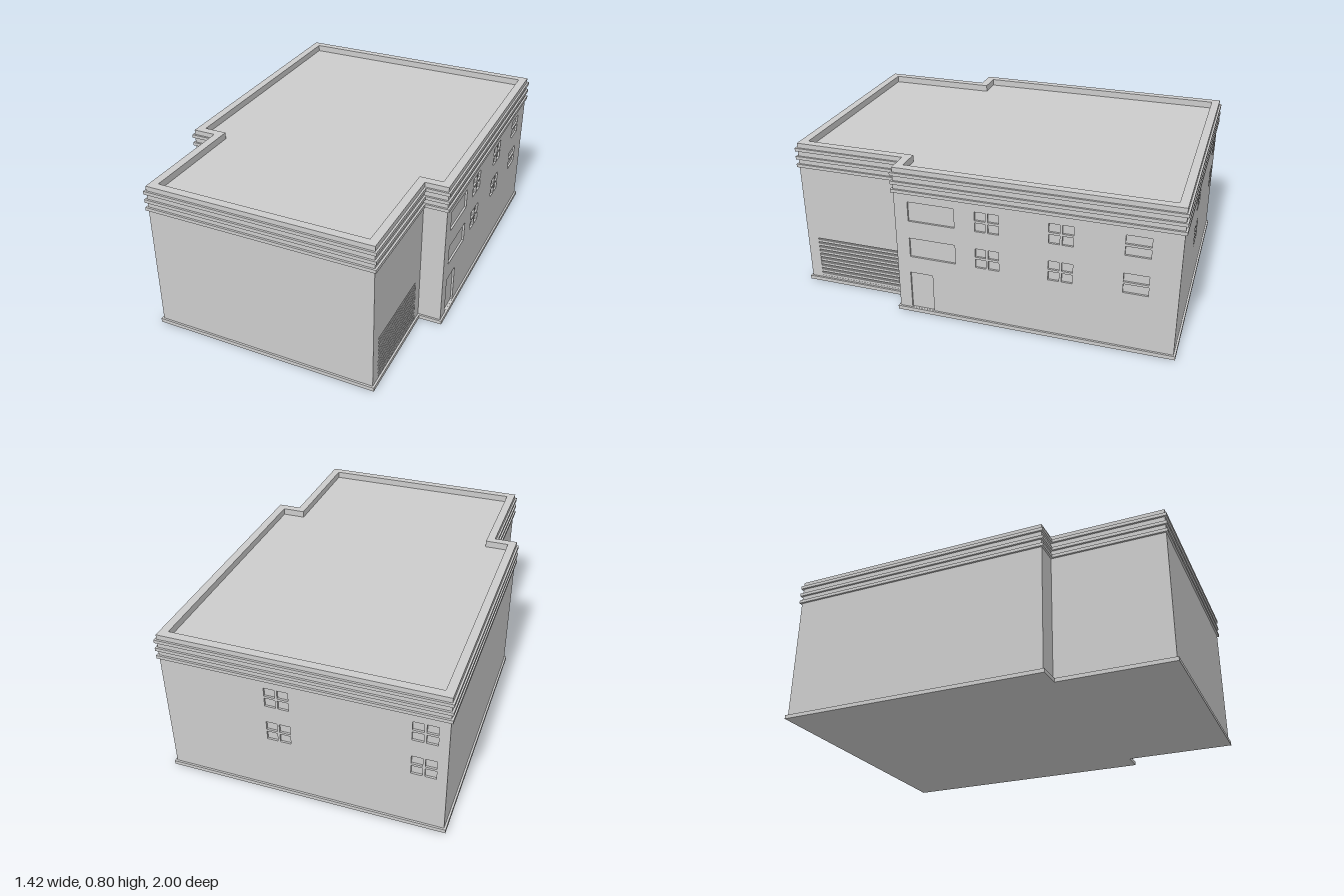
import * as THREE from 'three';

const material = new THREE.MeshStandardMaterial({ color: 0xcccccc, flatShading: true });
const ROOF = 0.765, TOP = 0.8, SKIN = 0.01;

// Stepped floor plan, grown outwards by d; corners run so that outside is on the right
function plan(d) {
  const w = 0.7 + d, n = 0.58 + d, back = -0.99 - d, step = 0.41 + d, front = 0.99 + d;
  return [[-n, front], [n, front], [n, step], [w, step], [w, back], [-w, back], [-w, step], [-n, step]];
}

const toPoints = (corners) => corners.map(([x, z]) => new THREE.Vector2(x, -z));

// Horizontal slab of the plan from y0 to y1, hollow when an inner offset is given
function slab(name, outer, y0, y1, inner) {
  const shape = new THREE.Shape(toPoints(plan(outer)));
  if (inner !== undefined) shape.holes.push(new THREE.Path(toPoints(plan(inner))));
  const geometry = new THREE.ExtrudeGeometry(shape, { depth: y1 - y0, bevelEnabled: false });
  geometry.rotateX(-Math.PI / 2).translate(0, y0, 0);
  const mesh = new THREE.Mesh(geometry, material);
  mesh.name = name;
  return mesh;
}

function rectangle(Type, u0, y0, u1, y1) {
  return new Type([[u0, y0], [u1, y0], [u1, y1], [u0, y1]].map(([u, y]) => new THREE.Vector2(u, y)));
}

// Openings of one window, split into panes by flush bars
function panes(u0, y0, u1, y1, cols = 1, rows = 1, bar = 0.012) {
  const list = [];
  const w = (u1 - u0 - bar * (cols - 1)) / cols, h = (y1 - y0 - bar * (rows - 1)) / rows;
  for (let c = 0; c < cols; c++) {
    for (let r = 0; r < rows; r++) {
      const u = u0 + c * (w + bar), y = y0 + r * (h + bar);
      list.push([u, y, u + w, y + h]);
    }
  }
  return list;
}

// Two storeys of small windows centred at u
const STOREYS = [[0.32, 0.425], [0.52, 0.625]];
const windowColumn = (u, cols = 2) =>
  STOREYS.flatMap(([y0, y1]) => panes(u - 0.06, y0, u + 0.06, y1, cols, 2));

export function createModel() {
  const model = new THREE.Group();
  model.name = 'building';

  // Core behind the wall skin, closing the recesses and forming the flat roof
  model.add(slab('core', -SKIN, 0.001, ROOF));

  // Openings by wall number, measured from the wall's left end
  const shutter = [0.06, 0.03, 0.52, 0.26];
  const openings = {
    1: [shutter],
    3: [
      ...STOREYS.flatMap(([y0, y1]) => panes(0.07, y0, 0.31, y1)),
      [0.065, 0.021, 0.185, 0.228],
      ...windowColumn(0.475), ...windowColumn(0.84), ...windowColumn(1.2, 1),
    ],
    4: [...windowColumn(0.585), ...windowColumn(1.29)],
  };

  // Wall skin, one panel for each side of the plan
  const corners = plan(0);
  corners.forEach(([x, z], i) => {
    const [x2, z2] = corners[(i + 1) % corners.length];
    const shape = rectangle(THREE.Shape, 0, 0.001, Math.hypot(x2 - x, z2 - z), ROOF);
    for (const hole of openings[i] || []) shape.holes.push(rectangle(THREE.Path, ...hole));
    const geometry = new THREE.ExtrudeGeometry(shape, { depth: SKIN, bevelEnabled: false });
    geometry.translate(0, 0, -SKIN);
    const wall = new THREE.Group();
    wall.name = 'wall';
    wall.add(new THREE.Mesh(geometry, material));
    wall.children[0].name = 'wallPanel';
    wall.position.set(x, 0, z);
    wall.rotation.y = Math.atan2(z - z2, x2 - x);

    // Roller shutter slats inside the garage opening
    if (i === 1) {
      const [u0, y0, u1, y1] = shutter, count = 10, pitch = (y1 - y0) / count;
      const slatGeometry = new THREE.BoxGeometry(u1 - u0, pitch * 0.6, SKIN * 0.9);
      for (let s = 0; s < count; s++) {
        const slat = new THREE.Mesh(slatGeometry, material);
        slat.name = 'shutterSlat';
        slat.position.set((u0 + u1) / 2, y0 + pitch * (s + 0.3), -SKIN * 0.55);
        wall.add(slat);
      }
    }
    model.add(wall);
  });

  // Parapet around the roof, plinth and three cornice bands
  model.add(slab('parapet', 0, ROOF, TOP, -0.042));
  model.add(slab('plinth', 0.01, 0, 0.02));
  for (const y of [0.67, 0.713, 0.758]) model.add(slab('corniceBand', 0.01, y, y + 0.017, -0.02));

  return model;
}
